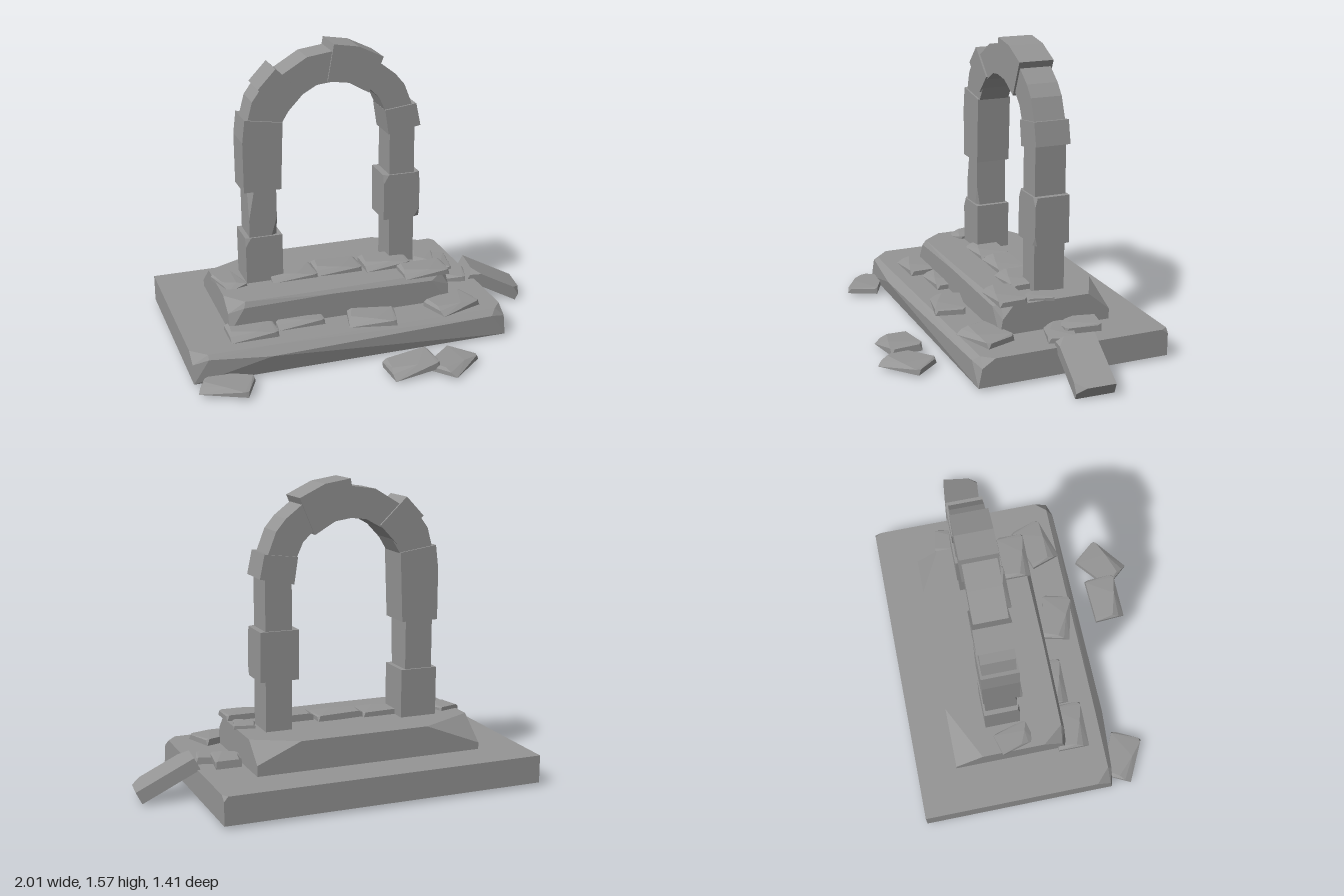
import * as THREE from 'three';
import { ConvexGeometry } from 'three/addons/geometries/ConvexGeometry.js';

const stone = new THREE.MeshStandardMaterial({ color: 0x959595, flatShading: true });
const V = (x, y, z) => new THREE.Vector3(x, y, z);

function add(group, name, geometry) {
  const mesh = new THREE.Mesh(geometry, stone);
  mesh.name = name;
  group.add(mesh);
  return mesh;
}

// Box whose listed corners are broken off: key is the corner signs, value the cut along x, y, z
function chippedBox([x0, x1], [y0, y1], [z0, z1], chips = {}) {
  const points = [];
  for (const sx of [-1, 1]) for (const sy of [-1, 1]) for (const sz of [-1, 1]) {
    const x = sx < 0 ? x0 : x1, y = sy < 0 ? y0 : y1, z = sz < 0 ? z0 : z1;
    const key = [sx, sy, sz].map(s => (s < 0 ? '-' : '+')).join('');
    const c = chips[key];
    if (c) points.push(V(x - sx * c[0], y, z), V(x, y - sy * c[1], z), V(x, y, z - sz * c[2]));
    else points.push(V(x, y, z));
  }
  return new ConvexGeometry(points);
}

// Arch stone: outline in x, y pushed through the arch depth
function archStone(outline, z0, z1) {
  const shape = new THREE.Shape(outline.map(p => new THREE.Vector2(...p)));
  return new THREE.ExtrudeGeometry(shape, { depth: z1 - z0, bevelEnabled: false }).translate(0, 0, z0);
}

// Thin paving stone resting on y = 0, with a steep break along its front left edge
function slabGeometry(w, h, d) {
  const a = w / 2, b = d / 2;
  return new ConvexGeometry([
    V(-a, 0, -b), V(a, 0, -b), V(a, 0, b), V(-a, 0, b),
    V(-a, h * 0.7, -b), V(-a * 0.8, h, -b), V(a * 0.9, h, -b), V(a, h * 0.8, -b * 0.8),
    V(a, h * 0.75, b * 0.8), V(a * 0.85, h * 0.8, b), V(a * 0.1, h, b * 0.7),
    V(-a * 0.9, h, b * 0.2), V(-a, h * 0.6, b * 0.6),
  ]);
}

export function createModel() {
  const model = new THREE.Group();
  model.name = 'ruinedArch';

  // Stepped platform
  const platform = new THREE.Group();
  platform.name = 'platform';
  model.add(platform);
  add(platform, 'lowerStep', new ConvexGeometry([
    V(-1, 0.02, -0.705), V(0.7, 0.02, -0.705), V(0.7, 0.02, 0.34), V(-1, 0.02, 0.34),
    V(-1, 0.165, -0.705), V(0.7, 0.165, -0.67), V(0.68, 0.165, -0.705), V(0.7, 0.14, -0.705),
    V(0.7, 0.165, 0.25), V(0.7, 0.12, 0.32), V(0.65, 0.165, 0.31), V(0.62, 0.137, 0.342),
    V(-0.6, 0.122, 0.367), V(-0.6, 0.165, 0.325), V(-0.92, 0.145, 0.345),
    V(-0.92, 0.165, 0.325), V(-1, 0.165, 0.25), V(-1, 0.12, 0.325),
  ]));
  add(platform, 'upperStep', new ConvexGeometry([
    V(-0.76, 0.16, -0.49), V(0.46, 0.16, -0.49), V(0.46, 0.16, 0.125), V(-0.76, 0.16, 0.125),
    V(-0.76, 0.32, -0.34), V(-0.46, 0.32, -0.49), V(-0.76, 0.2, -0.49),
    V(0.46, 0.32, -0.37), V(0.23, 0.32, -0.49), V(0.46, 0.22, -0.49),
    V(0.46, 0.32, 0.05), V(0.46, 0.25, 0.11), V(0.42, 0.32, 0.1), V(0.36, 0.29, 0.125),
    V(-0.2, 0.3, 0.125), V(-0.2, 0.32, 0.11), V(-0.68, 0.29, 0.125), V(-0.67, 0.32, 0.11),
    V(-0.76, 0.32, 0), V(-0.76, 0.26, 0.1),
  ]));

  // Pillars: wide and narrow blocks in turn
  const wideZ = [-0.295, -0.105], narrowZ = [-0.285, -0.115];
  const pillars = new THREE.Group();
  pillars.name = 'pillars';
  model.add(pillars);
  const chip = [0.03, 0.05, 0.012];
  add(pillars, 'leftFoot', chippedBox([-0.605, -0.405], [0.31, 0.575], wideZ, { '-++': chip }));
  add(pillars, 'leftMiddle', chippedBox([-0.58, -0.43], [0.575, 0.83], narrowZ,
    { '-++': [0.03, 0.16, 0.03], '+-+': [0.03, 0.1, 0.015] }));
  add(pillars, 'leftTop', new ConvexGeometry(wideZ.flatMap(z => [
    V(-0.605, 0.83, z), V(-0.405, 0.83, z), V(-0.405, 1.07, z),
    V(-0.39, 1.19, z), V(-0.59, 1.22, z), V(-0.605, 1.1, z)])));
  add(pillars, 'rightFoot', chippedBox([0.2, 0.34], [0.31, 0.58], narrowZ));
  add(pillars, 'rightMiddle', chippedBox([0.165, 0.37], [0.58, 0.835], wideZ,
    { '+++': chip, '+-+': chip, '-++': chip }));
  add(pillars, 'rightTop', chippedBox([0.2, 0.34], [0.835, 1.1], narrowZ));

  // Ring of arch stones, left to right
  const arch = new THREE.Group();
  arch.name = 'arch';
  model.add(arch);
  const ring = [
    [[[-0.575, 1.2], [-0.4, 1.17], [-0.34, 1.27], [-0.48, 1.4], [-0.545, 1.31]], narrowZ],
    [[[-0.515, 1.375], [-0.37, 1.235], [-0.275, 1.335], [-0.42, 1.475]], wideZ],
    [[[-0.4, 1.43], [-0.29, 1.32], [-0.2, 1.37], [-0.11, 1.38], [-0.11, 1.54], [-0.25, 1.52]], narrowZ],
    [[[-0.145, 1.385], [-0.03, 1.368], [0.08, 1.305], [0.16, 1.49], [0.025, 1.555], [-0.11, 1.577]], wideZ],
    [[[0.08, 1.33], [0.14, 1.27], [0.18, 1.18], [0.33, 1.2], [0.28, 1.33], [0.23, 1.39], [0.14, 1.46]], narrowZ],
    [[[0.17, 1.2], [0.19, 1.065], [0.37, 1.1], [0.345, 1.222]], wideZ],
  ];
  for (const [outline, [z0, z1]] of ring) add(arch, 'archStone', archStone(outline, z0, z1));

  // Loose paving stones: position, size, rotation
  const slabs = new THREE.Group();
  slabs.name = 'looseStones';
  model.add(slabs);
  const layout = [
    // on the lower step
    [[-0.655, 0.165, 0.165], [0.25, 0.035, 0.17], [0, 0, 0]],
    [[-0.39, 0.165, 0.11], [0.25, 0.033, 0.16], [0, 0, 0]],
    [[-0.02, 0.165, 0.225], [0.25, 0.035, 0.16], [0, -0.23, 0]],
    [[0.445, 0.165, 0.2], [0.25, 0.035, 0.17], [0, 0.33, 0]],
    [[0.55, 0.185, -0.275], [0.13, 0.04, 0.19], [0, -0.15, -0.05]],
    [[0.55, 0.165, -0.16], [0.23, 0.035, 0.14], [0, -0.3, 0]],
    // on the upper step
    [[-0.69, 0.31, -0.155], [0.12, 0.03, 0.19], [0, 0.27, 0]],
    [[-0.35, 0.315, -0.14], [0.25, 0.032, 0.16], [0, 0, -0.02]],
    [[-0.1, 0.32, -0.135], [0.25, 0.033, 0.15], [0, 0, -0.03]],
    [[0.165, 0.325, -0.1], [0.25, 0.036, 0.16], [0, 0, 0]],
    [[0.335, 0.316, 0.05], [0.25, 0.034, 0.15], [0, 0, 0]],
    [[0.4, 0.316, -0.12], [0.11, 0.02, 0.14], [0, -0.3, 0]],
    // fallen to the ground
    [[-0.85, 0.02, 0.425], [0.25, 0.035, 0.17], [0, -0.45, 0]],
    [[0.085, 0.025, 0.54], [0.25, 0.045, 0.17], [0, 0.06, 0.11]],
    [[0.3, 0.02, 0.565], [0.24, 0.035, 0.175], [0, 0.7, 0]],
  ];
  for (const [position, size, rotation] of layout) {
    const slab = add(slabs, 'looseStone', slabGeometry(...size));
    slab.position.set(...position);
    slab.rotation.set(...rotation);
  }
  // Long stone leaning against the side of the platform
  const leaning = add(slabs, 'leaningStone', chippedBox([-0.165, 0.165], [-0.034, 0.034], [-0.1, 0.1],
    { '-++': [0.06, 0.03, 0.04], '+++': [0.05, 0.03, 0.05] }));
  leaning.position.set(0.833, 0.115, -0.165);
  leaning.rotation.set(0.05, -0.12, -0.47);

  return model;
}
